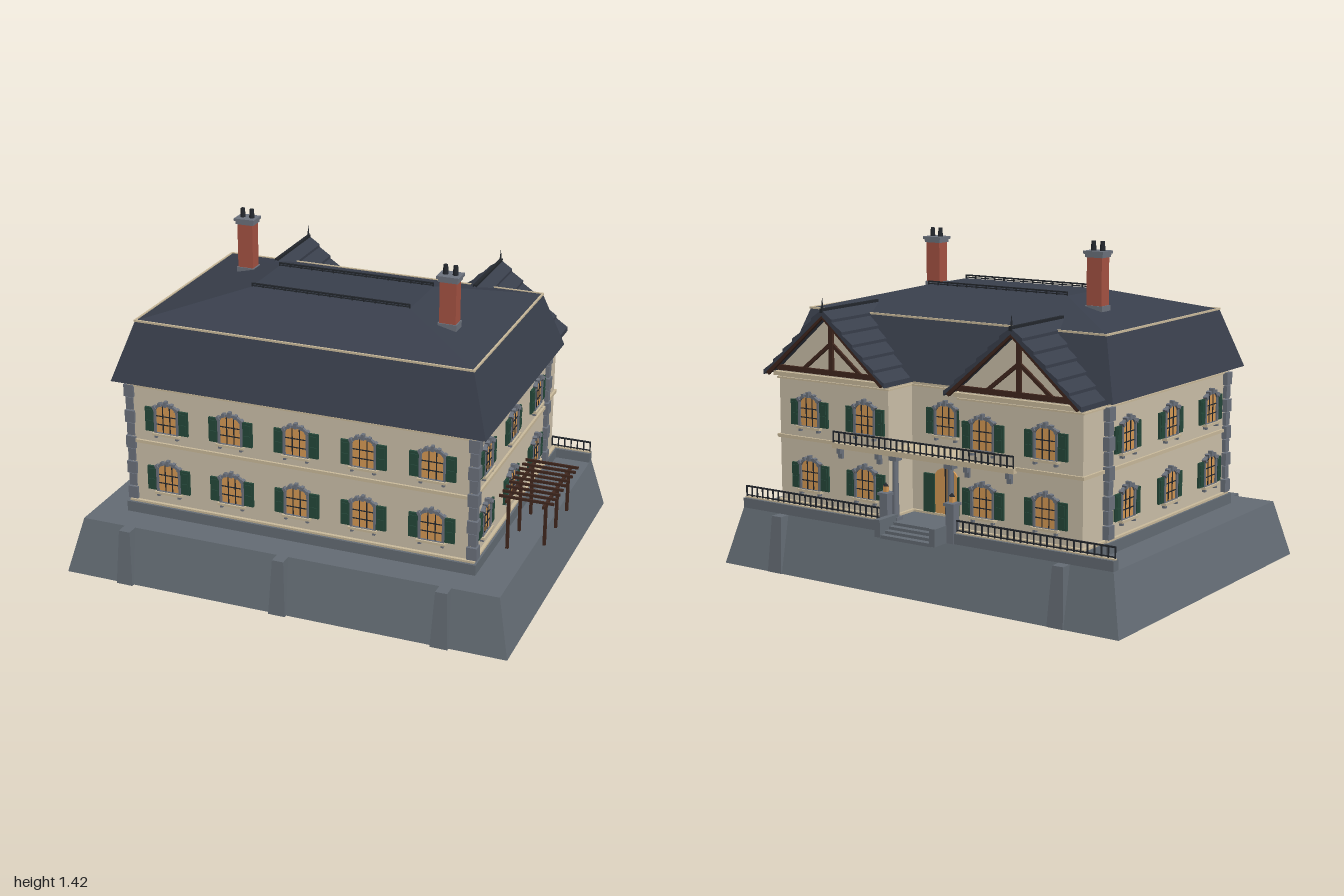
import * as THREE from 'three';

const mat = (name, color) => Object.assign(new THREE.MeshStandardMaterial({ color }), { name });
const stone = mat('stone', 0x646c74), quoinStone = mat('dressed stone', 0x6c727d);
const plaster = mat('plaster', 0xcdc1aa), trim = mat('trim', 0xcbbb9c);
const slate = mat('slate', 0x393f4c), green = mat('shutter green', 0x25483a);
const glow = mat('lit glass', 0xd79a55), brick = mat('brick', 0xa65343);
const iron = mat('iron', 0x23272d), timber = mat('timber', 0x40271e);
const CX = -0.02; // axis of the house

function add(parent, name, geo, material, x = 0, y = 0, z = 0) {
  const m = new THREE.Mesh(geo, material);
  m.name = name;
  m.position.set(x, y, z);
  parent.add(m);
  return m;
}
// box given by its limits
function box(parent, name, material, x0, x1, y0, y1, z0, z1) {
  return add(parent, name, new THREE.BoxGeometry(x1 - x0, y1 - y0, z1 - z0), material,
    (x0 + x1) / 2, (y0 + y1) / 2, (z0 + z1) / 2);
}
// flat-faced solid through rectangles [x0, x1, z0, z1, y], bottom to top
function loft(rects) {
  const pos = [];
  const rings = rects.map(([x0, x1, z0, z1, y]) => [[x0, y, z1], [x1, y, z1], [x1, y, z0], [x0, y, z0]]);
  const quad = (a, b, c, d) => [a, b, c, a, c, d].forEach(p => pos.push(...p));
  for (let r = 0; r + 1 < rings.length; r++)
    for (let i = 0; i < 4; i++) {
      const j = (i + 1) % 4;
      quad(rings[r][i], rings[r][j], rings[r + 1][j], rings[r + 1][i]);
    }
  quad(...rings[rings.length - 1]);
  quad(...[...rings[0]].reverse());
  const g = new THREE.BufferGeometry();
  g.setAttribute('position', new THREE.Float32BufferAttribute(pos, 3));
  g.computeVertexNormals();
  return g;
}
const extrude = (shape, depth) => new THREE.ExtrudeGeometry(shape, { depth, bevelEnabled: false, curveSegments: 8 });
const polygon = pts => new THREE.Shape(pts.map(p => new THREE.Vector2(...p)));
// bar between two points in a plane of constant z
function bar(parent, name, material, a, b, z, w, d) {
  const m = add(parent, name, new THREE.BoxGeometry(Math.hypot(b[0] - a[0], b[1] - a[1]), w, d), material,
    (a[0] + b[0]) / 2, (a[1] + b[1]) / 2, z);
  m.rotation.z = Math.atan2(b[1] - a[1], b[0] - a[0]);
}
// opening with a low arch, standing on y = 0
function archShape(hw, h, rise, y0 = 0) {
  const s = new THREE.Shape();
  s.moveTo(-hw, y0).lineTo(hw, y0).lineTo(hw, h);
  s.quadraticCurveTo(hw * 0.75, h + rise, 0, h + rise);
  s.quadraticCurveTo(-hw * 0.75, h + rise, -hw, h);
  return s;
}
const glassGeo = extrude(archShape(0.046, 0.1, 0.024), 0.006);
const frameShape = archShape(0.056, 0.104, 0.03, -0.004);
frameShape.holes.push(archShape(0.046, 0.1, 0.024));
const frameGeo = extrude(frameShape, 0.014);

// arched window with shutters; its local +z points away from the wall
function makeWindow(parent, x, y, z, turn = 0) {
  const g = new THREE.Group();
  g.name = 'window';
  g.position.set(x, y, z);
  g.rotation.y = turn;
  parent.add(g);
  add(g, 'glass', glassGeo, glow);
  add(g, 'stoneFrame', frameGeo, quoinStone);
  for (const bx of [-0.016, 0.016]) box(g, 'glazingBar', iron, bx - 0.002, bx + 0.002, 0, 0.119, 0, 0.009);
  for (const by of [0.036, 0.074]) box(g, 'glazingBar', iron, -0.046, 0.046, by - 0.002, by + 0.002, 0, 0.009);
  for (let i = -2; i <= 2; i++) { // arch blocks and keystone
    const b = add(g, 'archBlock', new THREE.BoxGeometry(0.013, i ? 0.016 : 0.024, 0.02), quoinStone,
      i * 0.026, 0.134 - i * i * 0.0055, 0.01);
    b.rotation.z = -i * 0.28;
  }
  box(g, 'sill', trim, -0.062, 0.062, -0.012, -0.002, 0, 0.022);
  for (const s of [-1, 1]) {
    box(g, 'sillBracket', quoinStone, s * 0.048 - 0.006, s * 0.048 + 0.006, -0.024, -0.012, 0, 0.016);
    box(g, 'shutter', green, s * 0.077 - 0.021, s * 0.077 + 0.021, 0, 0.108, 0, 0.01);
    for (const y0 of [0.01, 0.058])
      box(g, 'shutterPanel', green, s * 0.077 - 0.014, s * 0.077 + 0.014, y0, y0 + 0.04, 0, 0.014);
  }
}
function railing(parent, name, x0, x1, y, z, h, step = 0.03) {
  const g = new THREE.Group();
  g.name = name;
  parent.add(g);
  box(g, 'topRail', iron, x0, x1, y + h - 0.006, y + h, z - 0.004, z + 0.004);
  box(g, 'bottomRail', iron, x0, x1, y + 0.006, y + 0.01, z - 0.003, z + 0.003);
  const n = Math.round((x1 - x0) / step);
  for (let i = 0; i <= n; i++) {
    const x = x0 + (x1 - x0) * i / n;
    box(g, 'baluster', iron, x - 0.0025, x + 0.0025, y, y + h, z - 0.0025, z + 0.0025);
  }
}

export function createModel() {
  const model = new THREE.Group();
  model.name = 'manorHouse';

  // sloped terrace and its buttresses
  add(model, 'terrace', loft([[-1, 0.96, -0.74, 0.748, 0], [-0.938, 0.905, -0.676, 0.692, 0.24]]), stone);
  const buttress = (x, s) => {
    const zs = (a, b) => s > 0 ? [a, b] : [-b + 0.018, -a + 0.018];
    add(model, 'buttress', loft([[x - 0.037, x + 0.037, ...zs(0.6, 0.762), 0], [x - 0.025, x + 0.025, ...zs(0.6, 0.742), 0.24]]), stone);
  };
  for (const x of [-0.72, CX, 0.68]) buttress(x, 1);
  for (const x of [-0.72, 0.68]) buttress(x, -1);

  // plinth, walls and horizontal bands
  box(model, 'plinth', stone, CX - 0.78, CX + 0.78, 0.24, 0.286, -0.485, 0.56);
  box(model, 'wingPlinth', stone, CX - 0.77, CX + 0.77, 0.24, 0.286, -0.64, -0.48);
  box(model, 'mainWalls', plaster, CX - 0.757, CX + 0.757, 0.28, 0.86, -0.465, 0.535);
  const bands = [[0.286, 0.295, 0.014], [0.562, 0.576, 0.01], [0.815, 0.822, 0.008], [0.828, 0.845, 0.018]];
  for (const [y0, y1, o] of bands)
    box(model, 'band', trim, CX - 0.757 - o, CX + 0.757 + o, y0, y1, -0.465 - o, 0.535 + o);

  // corner stones, alternately wide and narrow
  for (const sx of [-1, 1]) for (const z of [0.525, -0.457])
    for (let i = 0; i < 9; i++) {
      const w = i % 2 ? 0.034 : 0.044, y = 0.298 + i * 0.0585;
      box(model, 'quoin', quoinStone, CX + sx * 0.757 - w / 2, CX + sx * 0.757 + w / 2, y, y + 0.054, z - w / 2, z + w / 2);
    }

  // two-stage hipped roof
  add(model, 'lowerRoof', loft([[CX - 0.815, CX + 0.815, -0.519, 0.586, 0.843], [CX - 0.733, CX + 0.733, -0.433, 0.503, 1.092]]), slate);
  add(model, 'upperRoof', loft([[CX - 0.733, CX + 0.733, -0.433, 0.503, 1.092], [CX - 0.352, CX + 0.352, -0.107, 0.18, 1.185]]), slate);
  for (const z of [-0.433, 0.503]) box(model, 'roofTrim', trim, CX - 0.737, CX + 0.737, 1.089, 1.097, z - 0.004, z + 0.004);
  for (const s of [-1, 1]) box(model, 'roofTrim', trim, CX + s * 0.733 - 0.004, CX + s * 0.733 + 0.004, 1.089, 1.097, -0.433, 0.503);
  for (const z of [-0.105, 0.177]) railing(model, 'roofCresting', CX - 0.35, CX + 0.35, 1.182, z, 0.02, 0.05);

  // chimneys
  for (const [x, z, top] of [[-0.528, -0.126, 1.362], [0.508, 0.2, 1.342]]) {
    const g = new THREE.Group();
    g.name = 'chimney';
    model.add(g);
    box(g, 'flashing', quoinStone, x - 0.04, x + 0.04, 1.1, 1.16, z - 0.034, z + 0.034);
    box(g, 'stack', brick, x - 0.035, x + 0.035, 1.1, top, z - 0.029, z + 0.029);
    box(g, 'cap', quoinStone, x - 0.041, x + 0.041, top - 0.008, top + 0.006, z - 0.034, z + 0.034);
    box(g, 'cap', quoinStone, x - 0.047, x + 0.047, top + 0.006, top + 0.018, z - 0.039, z + 0.039);
    for (const s of [-1, 1])
      add(g, 'pot', new THREE.CylinderGeometry(0.009, 0.012, 0.04, 10), iron, x + s * 0.021, top + 0.037, z);
  }

  // gabled rear wings
  const eave = 0.845, ridge = 1.13, half = 0.317, courses = 6;
  const slope = [];
  for (let i = 0; i < courses; i++) { // overlapping slate courses
    const at = t => [half * (1 - t / courses), eave + (ridge - eave) * t / courses];
    const [x0, y0] = at(i), [x1, y1] = at(i + 1);
    slope.push([x0, y0 + 0.012], [x1, y1]);
  }
  const wingRoof = extrude(polygon([[half, eave - 0.008], ...slope,
    ...slope.slice(0, -1).reverse().map(([x, y]) => [-x, y]), [-half, eave - 0.008], [0, ridge - 0.024]]), 0.39);
  const gable = extrude(polygon([[-0.287, 0.28], [0.287, 0.28], [0.287, 0.855], [0, 1.108], [-0.287, 0.855]]), 0.2);
  for (const s of [-1, 1]) {
    const w = new THREE.Group();
    w.name = 'rearWing';
    w.position.x = CX + s * 0.463;
    model.add(w);
    add(w, 'wingWalls', gable, plaster, 0, 0, -0.625);
    add(w, 'wingRoof', wingRoof, slate, 0, 0, -0.692);
    box(w, 'ridgeCap', iron, -0.007, 0.007, 1.118, 1.136, -0.694, -0.32);
    add(w, 'finial', new THREE.ConeGeometry(0.006, 0.06, 6), iron, 0, 1.155, -0.684);
    for (const [y0, y1, o] of bands) box(w, 'wingBand', trim, -0.287 - o, 0.287 + o, y0, y1, -0.625 - o, -0.45);
    // timber framing in the gable
    bar(w, 'tieBeam', timber, [-0.29, 0.862], [0.29, 0.862], -0.628, 0.022, 0.02);
    bar(w, 'kingPost', timber, [0, 0.862], [0, 1.1], -0.628, 0.02, 0.02);
    for (const m of [-1, 1]) {
      bar(w, 'rakeBeam', timber, [m * 0.3, 0.843], [0, 1.106], -0.683, 0.018, 0.014);
      bar(w, 'strut', timber, [m * 0.15, 0.866], [0, 0.985], -0.628, 0.015, 0.016);
    }
  }

  // windows on every side, two floors
  for (const y of [0.355, 0.625]) {
    for (let i = -2; i <= 2; i++) {
      makeWindow(model, CX + i * 0.293, y, 0.535);
      if (i) makeWindow(model, CX + i * 0.293, y, -0.625, Math.PI);
    }
    for (const z of [0.384, 0.037, -0.31])
      for (const s of [-1, 1]) makeWindow(model, CX + s * 0.757, y, z, s * Math.PI / 2);
  }
  makeWindow(model, CX, 0.625, -0.465, Math.PI);

  // rear door
  const door = add(model, 'doorGlass', extrude(archShape(0.055, 0.17, 0.03), 0.008), glow, CX, 0.287, -0.465);
  door.rotation.y = Math.PI;
  for (const s of [-1, 1]) box(model, 'doorLeaf', green, CX + s * 0.085 - 0.027, CX + s * 0.085 + 0.027, 0.287, 0.457, -0.477, -0.465);
  box(model, 'doorMullion', iron, CX - 0.003, CX + 0.003, 0.287, 0.485, -0.477, -0.465);

  // balcony with columns and brackets
  box(model, 'balconyFloor', trim, CX - 0.45, CX + 0.45, 0.552, 0.574, -0.652, -0.46);
  railing(model, 'balconyRailing', CX - 0.447, CX + 0.447, 0.574, -0.647, 0.05);
  for (const s of [-1, 1]) {
    const x = CX + s * 0.138;
    add(model, 'column', new THREE.CylinderGeometry(0.012, 0.015, 0.25, 12), quoinStone, x, 0.415, -0.632);
    box(model, 'columnBase', quoinStone, x - 0.02, x + 0.02, 0.284, 0.3, -0.652, -0.612);
    box(model, 'columnCapital', quoinStone, x - 0.02, x + 0.02, 0.534, 0.552, -0.652, -0.612);
    for (const bx of [0.22, 0.42]) {
      box(model, 'bracket', quoinStone, CX + s * bx - 0.01, CX + s * bx + 0.01, 0.53, 0.552, -0.65, -0.62);
      box(model, 'bracket', quoinStone, CX + s * bx - 0.01, CX + s * bx + 0.01, 0.508, 0.53, -0.638, -0.62);
    }
  }

  // low rear wall with railing, gate pillars and lanterns
  for (const [x0, x1] of [[-0.938, -0.17], [0.13, 0.905]]) {
    box(model, 'lowWall', stone, x0, x1, 0.24, 0.282, -0.676, -0.64);
    box(model, 'wallCoping', trim, x0, x1, 0.282, 0.287, -0.664, -0.652);
    railing(model, 'terraceRailing', x0 + 0.004, x1 - 0.004, 0.285, -0.658, 0.05);
  }
  for (const s of [-1, 1]) {
    const x = CX + s * 0.165;
    box(model, 'gatePillar', quoinStone, x - 0.02, x + 0.02, 0.24, 0.393, -0.68, -0.642);
    box(model, 'pillarCap', quoinStone, x - 0.026, x + 0.026, 0.393, 0.404, -0.687, -0.635);
    box(model, 'lantern', glow, x - 0.009, x + 0.009, 0.406, 0.43, -0.67, -0.652);
    add(model, 'lanternRoof', new THREE.ConeGeometry(0.015, 0.015, 4), iron, x, 0.437, -0.661);
    box(model, 'stepCheek', stone, CX + s * 0.136 - 0.014, CX + s * 0.136 + 0.014, 0.24, 0.312, -0.76, -0.64);
  }
  for (let i = 0; i < 4; i++) box(model, 'step', stone, CX - 0.125, CX + 0.125, 0.236, 0.25 + i * 0.012, -0.755 + i * 0.028, -0.64);

  // pergola on the left side
  for (const x of [0.807, 0.963]) {
    for (const z of [0.286, 0.118, -0.05]) box(model, 'pergolaPost', timber, x - 0.006, x + 0.006, x < 0.9 ? 0.24 : 0.285, 0.47, z - 0.006, z + 0.006);
    box(model, 'pergolaBeam', timber, x - 0.005, x + 0.005, 0.463, 0.476, -0.09, 0.325);
  }
  for (let i = 0; i < 9; i++) {
    const z = -0.068 + i * 0.046;
    box(model, 'pergolaRafter', timber, 0.77, 1, 0.475, 0.486, z - 0.004, z + 0.004);
  }
  return model;
}
